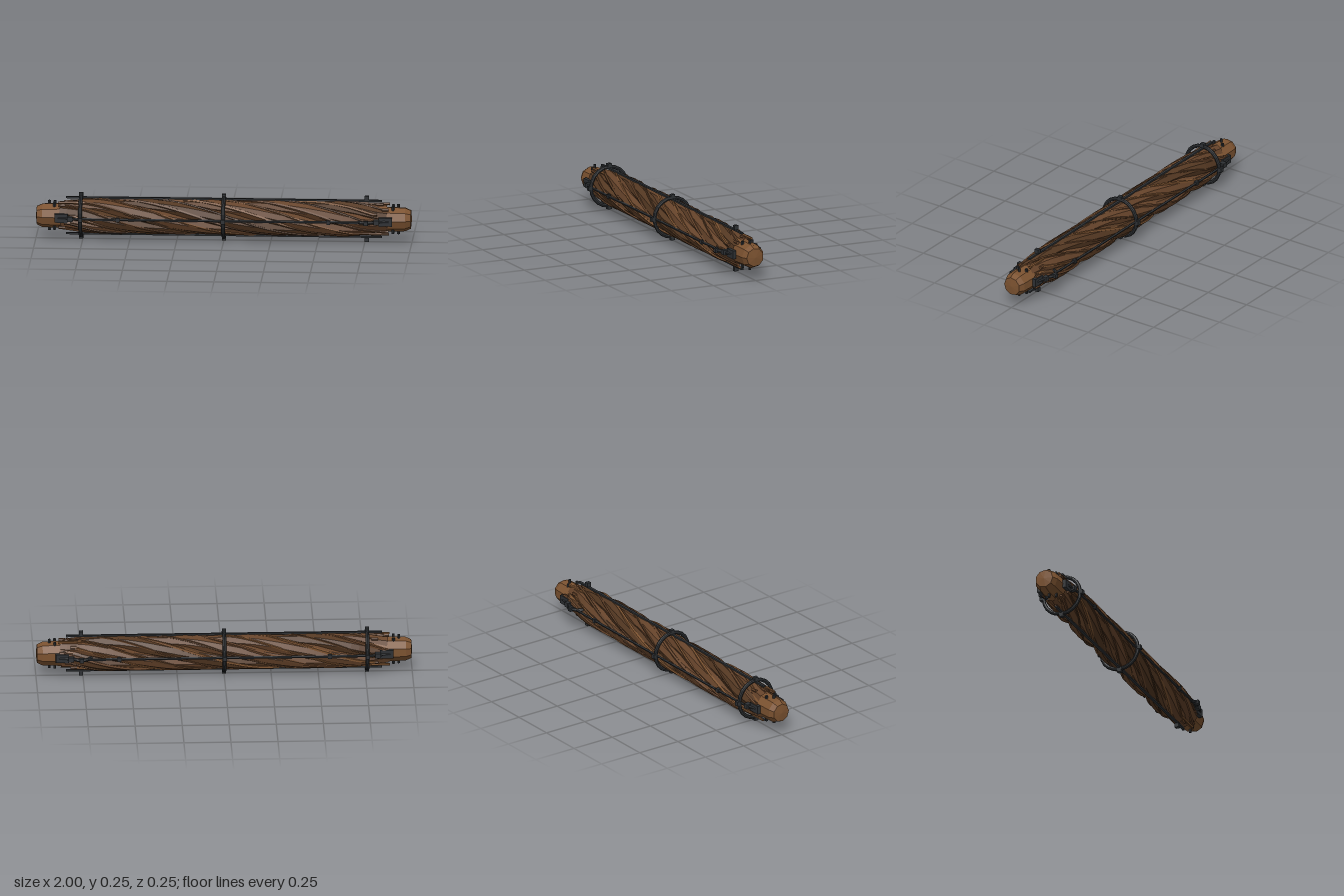
import * as THREE from 'three';

const CY = 0.125; // height of the beam's axis

const mat = (name, color, extra = {}) => {
  const m = new THREE.MeshStandardMaterial({ color, flatShading: true, ...extra });
  m.name = name;
  return m;
};

// Path winding round the x axis; it sinks toward the core at both ends
class Helix extends THREE.Curve {
  constructor(radius, phase, half, turns, endRadius, wobble = 0) {
    super();
    Object.assign(this, { radius, phase, half, turns, endRadius, wobble });
  }
  getPoint(t, target = new THREE.Vector3()) {
    const x = (t * 2 - 1) * this.half;
    const k = THREE.MathUtils.smoothstep(Math.abs(x), 0.66, this.half);
    const r = THREE.MathUtils.lerp(this.radius, this.endRadius, k)
      + this.wobble * Math.sin(t * 19 + this.phase * 3);
    const a = this.phase + x / 1.7 * this.turns * Math.PI * 2;
    return target.set(x, r * Math.cos(a), r * Math.sin(a));
  }
}

export function createModel() {
  const wood = mat('light wood', 0x7b5230);
  const bark = mat('brown wood', 0x65432a);
  const darkBark = mat('dark wood', 0x543822);
  const iron = mat('iron', 0x2d3033);

  const model = new THREE.Group();
  model.name = 'boundBeam';
  const beam = new THREE.Group();
  beam.name = 'beam';
  beam.position.y = CY;
  model.add(beam);

  const add = (name, geo, material, x = 0, y = 0, z = 0) => {
    const m = new THREE.Mesh(geo, material);
    m.name = name;
    m.position.set(x, y, z);
    beam.add(m);
    return m;
  };
  const box = (name, w, h, d, material, x, y, z) =>
    add(name, new THREE.BoxGeometry(w, h, d), material, x, y, z);

  // Faceted core with bevelled ends
  const profile = [[0, -1], [0.05, -0.995], [0.064, -0.965], [0.068, -0.86],
    [0.068, 0.86], [0.064, 0.965], [0.05, 0.995], [0, 1]];
  const core = new THREE.LatheGeometry(profile.map(p => new THREE.Vector2(...p)), 9);
  core.rotateZ(-Math.PI / 2);
  add('core', core, wood);

  // Thick twisted strands
  for (let i = 0; i < 5; i++) {
    const path = new Helix(0.056, i * Math.PI * 2 / 5 + 0.3, 0.87, 1, 0.034, 0.002);
    add('twistedStrand', new THREE.TubeGeometry(path, 44, 0.041, 8), i % 2 ? darkBark : bark);
  }

  // Thin vines lying along the grooves and over the strands
  for (let i = 0; i < 10; i++) {
    const half = 0.8 + (i % 3) * 0.03;
    const path = new Helix(i % 2 ? 0.091 : 0.087, i * Math.PI / 5 + 0.62, half, 1, 0.076, 0.002);
    add('vine', new THREE.TubeGeometry(path, 48, i % 2 ? 0.006 : 0.009, 5),
      [wood, darkBark, bark][i % 3]);
    // Closed vine ends
    for (const t of [0, 1]) {
      const p = path.getPoint(t);
      const tip = new THREE.CylinderGeometry(0.008, 0.009, 0.035, 6).rotateZ(Math.PI / 2);
      add('vineTip', tip, bark, p.x, p.y, p.z);
    }
  }

  // Four long iron rods: top, bottom, front and back
  for (const s of [-1, 1]) {
    box('rod', 1.68, 0.009, 0.014, iron, 0, s * 0.098, 0);
    const side = new THREE.CatmullRomCurve3([
      [-0.88, 0.08], [-0.8, 0.094], [-0.7, 0.098], [0, 0.099], [0.7, 0.098], [0.8, 0.094], [0.88, 0.08],
    ].map(([x, z]) => new THREE.Vector3(x, 0, s * z)));
    add('sideRod', new THREE.TubeGeometry(side, 28, 0.007, 5), iron);
    for (const x of [-0.56, 0.56]) box('rodStud', 0.02, 0.022, 0.018, iron, x, 0, s * 0.1);

    // End plates with bolts
    for (const e of [-1, 1]) {
      box('endPlate', 0.07, 0.046, 0.02, iron, e * 0.862, 0, s * 0.074);
      box('plateClip', 0.03, 0.026, 0.03, iron, e * 0.815, 0, s * 0.09);
      // Pegs in the bare ends
      for (const z of [-0.028, 0, 0.028]) {
        const y = s * (z ? 0.062 : 0.07);
        add('peg', new THREE.CylinderGeometry(0.008, 0.008, 0.022, 6), iron,
          e * (z ? 0.9 : 0.928), y, z);
      }
      // Loose splinters near the ends
      const splinter = new THREE.CylinderGeometry(0.006, 0.008, 0.14, 5).rotateZ(Math.PI / 2);
      add('splinter', splinter, wood, e * 0.81, s * 0.075, -s * e * 0.035);
    }

    // Flat half loops beside the right end
    const loop = new THREE.TorusGeometry(0.052, 0.009, 6, 12, Math.PI).rotateX(s * Math.PI / 2);
    add('sideLoop', loop, iron, 0.76, 0, s * 0.057);
  }

  // Iron rings
  for (const x of [-0.76, 0]) {
    const ring = new THREE.TorusGeometry(0.106, 0.0105, 8, 20).rotateY(Math.PI / 2);
    add('ring', ring, iron, x);
  }
  // Square studs at four sides of each ring position
  for (const x of [-0.76, 0, 0.76]) {
    for (let i = 0; i < 4; i++) {
      const a = i * Math.PI / 2;
      box('ringStud', 0.022, 0.023, 0.023, iron, x, 0.1135 * Math.cos(a), 0.1135 * Math.sin(a));
    }
  }
  return model;
}
